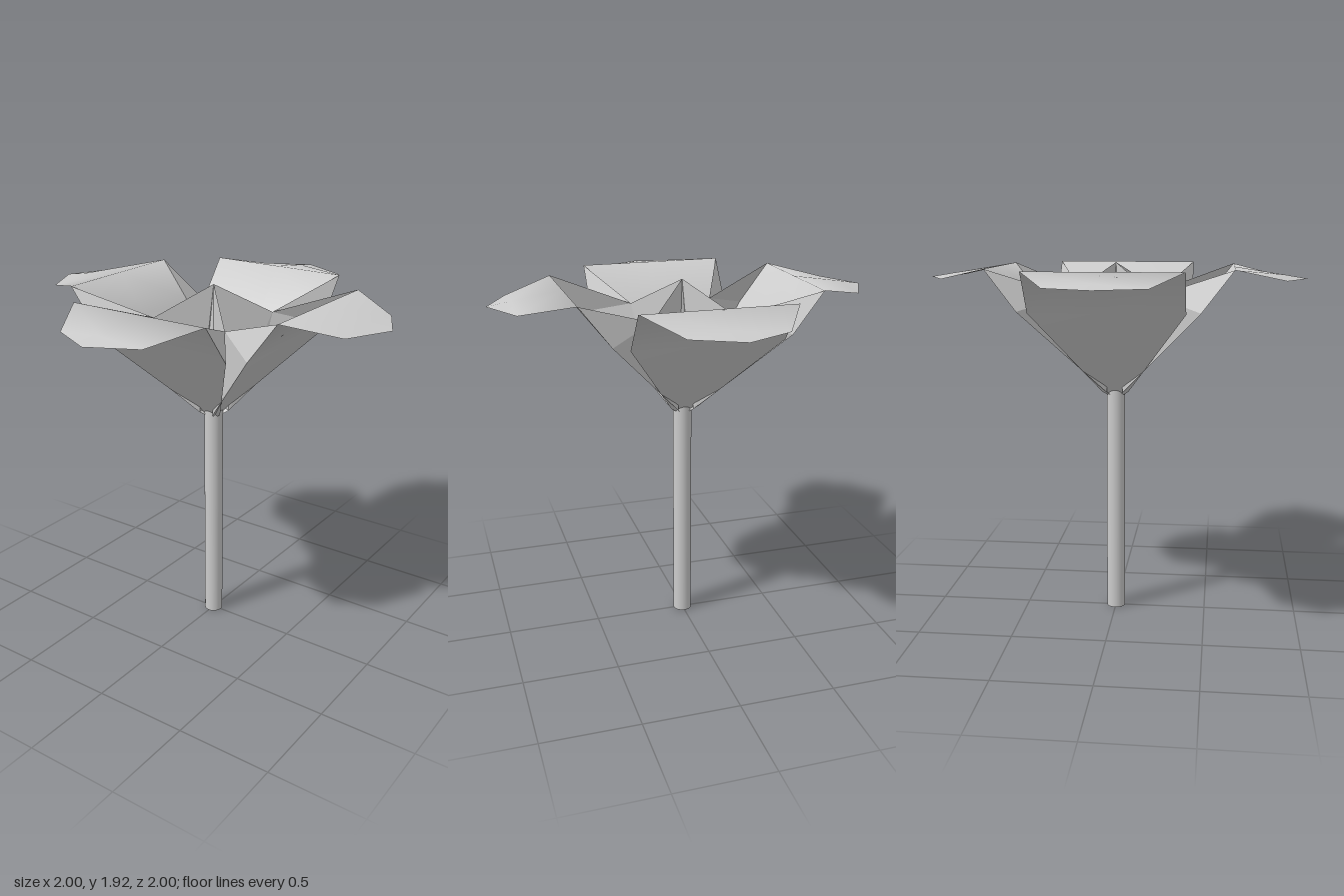
import * as THREE from 'three';

const sheet = new THREE.MeshStandardMaterial({ color: 0xcccccc, side: THREE.DoubleSide });
const folded = new THREE.MeshStandardMaterial({ color: 0xcccccc, side: THREE.DoubleSide, flatShading: true });

function surface(points, faces, material, name) {
  const geometry = new THREE.BufferGeometry();
  geometry.setAttribute('position', new THREE.Float32BufferAttribute(points.flat(), 3));
  geometry.setIndex(faces.flat());
  geometry.computeVertexNormals();
  const mesh = new THREE.Mesh(geometry, material);
  mesh.name = name;
  return mesh;
}

// Outer wall of a petal and its curled lip, smooth across the bend.
function petalBlade() {
  // Rows from the base to the lip: half width, edge height, centre height, z
  const rows = [
    [0.035, 1.21, 1.21, 0.02],
    [0.07, 1.235, 1.235, 0.042],
    [0.39, 1.69, 1.69, 0.46],
    [0.39, 1.9, 1.9, 0.62],
    [0.24, 1.84, 1.86, 0.88],
  ];
  const points = [], faces = [];
  rows.forEach(([w, edgeY, midY, z], r) => {
    points.push([-w, edgeY, z], [0, midY, z], [w, edgeY, z]);
    if (r === 0) return;
    for (let c = 0; c < 2; c++) {
      const a = (r - 1) * 3 + c, b = r * 3 + c;
      faces.push([a, a + 1, b + 1], [a, b + 1, b]);
    }
  });
  // Pointed tip
  const last = (rows.length - 1) * 3, tip = points.length;
  points.push([0, 1.84, 1]);
  faces.push([last, last + 1, tip], [last + 1, last + 2, tip]);
  return surface(points, faces, sheet, 'petalBlade');
}

// Side flap folded inward from the petal edge to the central peak.
function petalFlap(side) {
  const points = [
    [0, 1.92, 0],        // central peak
    [0.22, 1.76, 0.22],  // meeting point between petals
    [0.39, 1.9, 0.62],   // upper petal corner
    [0.39, 1.69, 0.46],  // lower petal corner
    [0.07, 1.235, 0.042],// base of the fold
    [0, 1.25, 0.05],     // base of the wall
  ].map(([x, y, z]) => [side * x, y, z]);
  const faces = [[1, 2, 3], [1, 3, 4], [0, 1, 4], [0, 4, 5]];
  return surface(points, faces, folded, side > 0 ? 'leftFlap' : 'rightFlap');
}

export function createModel() {
  const flower = new THREE.Group();
  flower.name = 'paperFlower';

  // Stem
  const stem = new THREE.Mesh(
    new THREE.CylinderGeometry(0.05, 0.05, 1.25, 32),
    new THREE.MeshStandardMaterial({ color: 0xcccccc }),
  );
  stem.name = 'stem';
  stem.position.y = 0.625;
  flower.add(stem);

  // Four petals around the stem
  for (let i = 0; i < 4; i++) {
    const petal = new THREE.Group();
    petal.name = `petal${i + 1}`;
    petal.add(petalBlade(), petalFlap(1), petalFlap(-1));
    petal.rotation.y = (i * Math.PI) / 2;
    flower.add(petal);
  }
  return flower;
}
